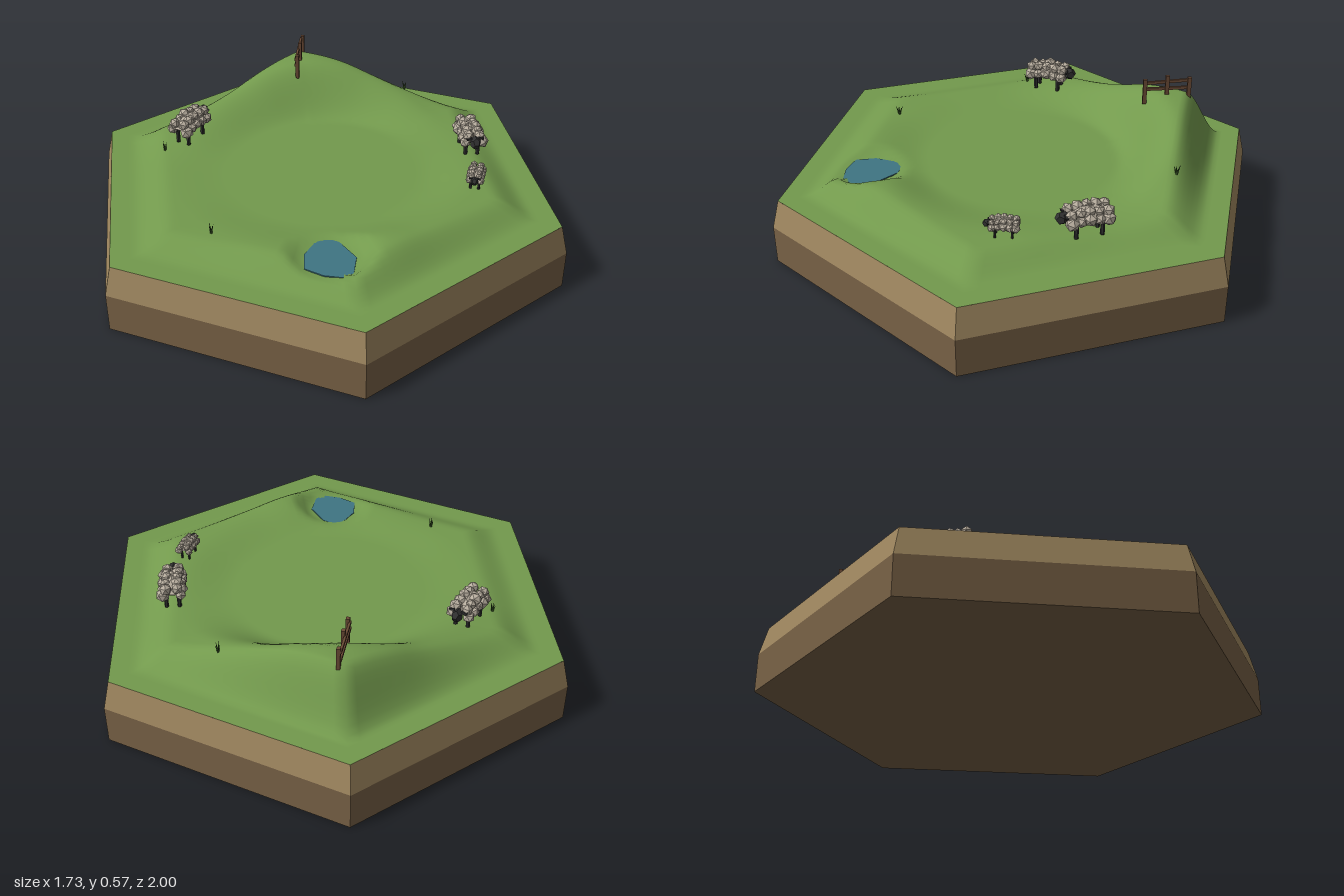
import * as THREE from 'three';

const mat = (name, color, extra = {}) =>
  Object.assign(new THREE.MeshStandardMaterial({ color, ...extra }), { name });

const mats = {
  grass: mat('grass green', 0x739a4d),
  soil: mat('light soil', 0xa08860, { flatShading: true }),
  earth: mat('dark earth', 0x7a6347, { flatShading: true }),
  water: mat('pond blue', 0x3f7583),
  wool: mat('wool', 0xb8ae9f, { flatShading: true }),
  dark: mat('dark face', 0x303030, { flatShading: true }),
  wood: mat('fence wood', 0x6b4a35, { flatShading: true }),
  blade: mat('dark grass', 0x3c5a28, { side: THREE.DoubleSide }),
};

const TOP_R = 0.97, TOP_Y = 0.27;
const POND = [0.495, 0.355];

function mesh(name, geometry, material, x = 0, y = 0, z = 0) {
  const m = new THREE.Mesh(geometry, material);
  m.name = name;
  m.position.set(x, y, z);
  return m;
}

function seeded(seed) {
  let s = seed;
  return () => (s = (s * 16807) % 2147483647) / 2147483647;
}

// Height of the ridge above the meadow floor, every 15 degrees from +x towards +z
const ridge = [0.045, 0.058, 0.045, 0.035, 0.03, 0.02, 0.015, 0.01, 0.01, 0.012, 0.03, 0.06,
  0.10, 0.155, 0.185, 0.175, 0.13, 0.08, 0.035, 0.015, 0.02, 0.028, 0.03, 0.035];

function ridgeAt(angle) {
  const n = ridge.length;
  const t = ((angle / (2 * Math.PI) + 1) % 1) * n;
  const i = Math.floor(t), f = t - i;
  const [a, b, c, d] = [-1, 0, 1, 2].map((k) => ridge[(i + k + n) % n]);
  return b + 0.5 * f * (c - a + f * (2 * a - 5 * b + 4 * c - d + f * (3 * (b - c) + d - a)));
}

// Distance from the centre to the hexagon's edge, as 0..1
const hexDistance = (x, z) =>
  Math.max(Math.abs(x), Math.abs(x) / 2 + Math.abs(z) * 0.866) / (TOP_R * 0.866);

function heightAt(x, z) {
  const d = hexDistance(x, z);
  const outer = 1 - THREE.MathUtils.smoothstep(d, 0.72, 0.9);
  const inner = THREE.MathUtils.smoothstep(Math.hypot(x, z), 0.38, 0.61);
  const h = TOP_Y + outer * (0.03 + inner * ridgeAt(Math.atan2(z, x)));
  const pond = 1 - THREE.MathUtils.smoothstep(Math.hypot(x - POND[0], z - POND[1]), 0.1, 0.17);
  return THREE.MathUtils.lerp(h, Math.min(h, 0.3), pond);
}

// Meadow surface built from hexagonal rings
function meadowGeometry() {
  const rings = 48, segs = 120, pos = [], index = [];
  for (let r = 0; r <= rings; r++) {
    for (let s = 0; s < segs; s++) {
      const a = (s / segs) * 2 * Math.PI + Math.PI / 6;
      const k = r / rings / hexDistance(Math.cos(a), Math.sin(a));
      const x = Math.cos(a) * k, z = Math.sin(a) * k;
      pos.push(x, heightAt(x, z), z);
      if (r === rings) continue;
      const n = (s + 1) % segs, p = r * segs, q = p + segs;
      if (r > 0) index.push(p + s, p + n, q + s);
      index.push(p + n, q + n, q + s);
    }
  }
  const g = new THREE.BufferGeometry();
  g.setAttribute('position', new THREE.Float32BufferAttribute(pos, 3));
  g.setIndex(index);
  g.computeVertexNormals();
  return g;
}

function pondGeometry() {
  const outline = [[0.375, 0.33], [0.39, 0.28], [0.43, 0.262], [0.54, 0.272], [0.605, 0.34],
    [0.6, 0.385], [0.55, 0.43], [0.475, 0.46], [0.41, 0.41]];
  const shape = new THREE.Shape(outline.map(([x, z]) => new THREE.Vector2(x, -z)));
  return new THREE.ExtrudeGeometry(shape, { depth: 0.006, bevelEnabled: false }).rotateX(-Math.PI / 2);
}

// Sheep facing +x, with feet on y = 0
function sheep(name, seed) {
  const g = new THREE.Group(), rnd = seeded(seed);
  g.name = name;
  const body = mesh('woolBody', new THREE.DodecahedronGeometry(1), mats.wool, -0.01, 0.072, 0);
  body.scale.set(0.085, 0.04, 0.046);
  g.add(body);
  const lump = new THREE.IcosahedronGeometry(1, 0);
  for (let i = 0; i < 5; i++) {
    for (const [y, z, size] of [[0.098, -0.022, 0.024], [0.102, 0.022, 0.024],
      [0.072, -0.034, 0.026], [0.072, 0.034, 0.026]]) {
      const m = mesh('woolTuft', lump, mats.wool, -0.078 + i * 0.034, y - Math.abs(i - 2) * 0.004, z);
      m.rotation.set(rnd() * 3, rnd() * 3, rnd() * 3);
      m.scale.setScalar(size * (0.85 + rnd() * 0.25));
      g.add(m);
    }
  }
  const head = mesh('head', new THREE.DodecahedronGeometry(1), mats.dark, 0.084, 0.074, 0);
  head.scale.set(0.029, 0.027, 0.022);
  g.add(head);
  for (const side of [-1, 1]) {
    const ear = mesh('ear', new THREE.BoxGeometry(0.012, 0.008, 0.022), mats.dark, 0.077, 0.09, side * 0.024);
    ear.rotation.x = side * 0.3;
    g.add(ear);
    for (const x of [-0.058, 0.04]) {
      g.add(mesh('leg', new THREE.CylinderGeometry(0.009, 0.008, 0.06, 6), mats.dark, x, 0.025, side * 0.025));
    }
  }
  return g;
}

function grassTuft(x, z) {
  const g = new THREE.Group();
  g.name = 'grassTuft';
  g.position.set(x, heightAt(x, z), z);
  for (let i = 0; i < 5; i++) {
    const blade = mesh('blade', new THREE.ConeGeometry(0.005, 0.045, 3).translate(0, 0.02, 0), mats.blade);
    blade.rotation.set(0, i * 1.257 + 0.4, -0.2 - 0.14 * (i % 3), 'YXZ');
    blade.scale.y = 1 - 0.15 * (i % 2);
    g.add(blade);
  }
  return g;
}

// Three posts and two slightly crooked rails along x
function fence() {
  const g = new THREE.Group();
  g.name = 'fence';
  [[-0.09, 0.075], [0, 0.083], [0.09, 0.067]].forEach(([x, top]) =>
    g.add(mesh('fencePost', new THREE.BoxGeometry(0.016, top + 0.04, 0.014), mats.wood, x, top / 2 - 0.02, 0)));
  [[0.024, -0.03], [0.054, -0.07]].forEach(([y, tilt]) => {
    const rail = mesh('fenceRail', new THREE.BoxGeometry(0.19, 0.012, 0.009), mats.wood, 0, y, 0.007);
    rail.rotation.z = tilt;
    g.add(rail);
  });
  return g;
}

export function createModel() {
  const model = new THREE.Group();
  model.name = 'meadowTile';

  // Hexagonal ground block
  model.add(mesh('earthBase', new THREE.CylinderGeometry(1, 1, 0.155, 6), mats.earth, 0, 0.0775, 0));
  model.add(mesh('soilBevel', new THREE.CylinderGeometry(TOP_R, 1, TOP_Y - 0.155, 6, 1, true), mats.soil,
    0, (TOP_Y + 0.155) / 2, 0));
  model.add(mesh('meadow', meadowGeometry(), mats.grass));
  model.add(mesh('pond', pondGeometry(), mats.water, 0, 0.2985, 0));

  // Flock: position, heading and size
  [['ewe', 0.27, -0.555, 0.85, 0.5, 1], ['lamb', 0.494, -0.365, 0.62, 0.78, 0.63],
    ['ram', -0.505, 0.29, -0.38, -0.92, 1.02]].forEach(([name, x, z, dx, dz, size], i) => {
    const s = sheep(name, 17 + i * 1009);
    s.position.set(x, heightAt(x, z) + 0.004, z);
    s.rotation.y = Math.atan2(-dz, dx);
    s.scale.setScalar(size);
    model.add(s);
  });

  const hillFence = fence();
  hillFence.position.set(-0.54, 0.483, -0.307);
  hillFence.rotation.y = -Math.PI / 4;
  model.add(hillFence);

  for (const [x, z] of [[-0.195, -0.615], [0.11, 0.605], [-0.5, 0.425]]) model.add(grassTuft(x, z));
  return model;
}
